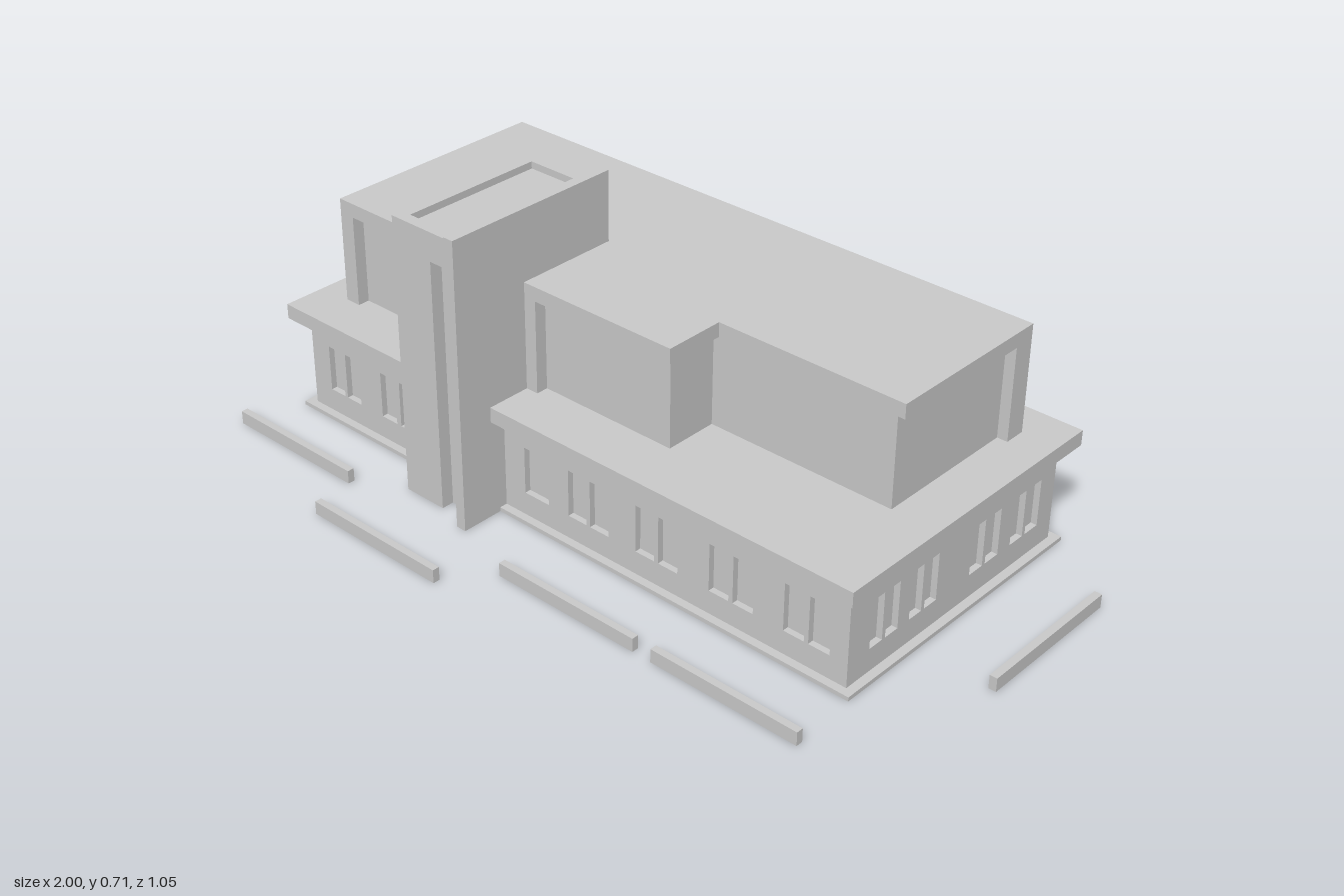
import * as THREE from 'three';

const material = new THREE.MeshStandardMaterial({ color: 0xcccccc, flatShading: true, side: THREE.DoubleSide });
const BOTTOM = 3, FRONT = 4; // box faces that may be left open

function add(parent, name, geometry) {
  const mesh = new THREE.Mesh(geometry, material);
  mesh.name = name;
  parent.add(mesh);
  return mesh;
}

// Box given by its lower and upper limits, optionally with one face left open
function box(parent, name, x0, x1, y0, y1, z0, z1, open) {
  const geometry = new THREE.BoxGeometry(x1 - x0, y1 - y0, z1 - z0);
  const index = Array.from(geometry.index.array);
  geometry.setIndex(index.filter((_, i) => Math.floor(i / 6) !== open));
  geometry.clearGroups();
  add(parent, name, geometry).position.set((x0 + x1) / 2, (y0 + y1) / 2, (z0 + z1) / 2);
}

const rect = (a0, a1, b0, b1) => [[a0, b0], [a1, b0], [a1, b1], [a0, b1]];
const points = (list, s) => list.map(([a, b]) => new THREE.Vector2(a, s * b));

// Footprint of [x, z] corners, raised from y0 to y1
function prism(parent, name, outline, y0, y1, hole) {
  const shape = new THREE.Shape(points(outline, -1));
  if (hole) shape.holes.push(new THREE.Path(points(hole, -1)));
  const geometry = new THREE.ExtrudeGeometry(shape, { depth: y1 - y0, bevelEnabled: false });
  add(parent, name, geometry.rotateX(-Math.PI / 2).translate(0, y0, 0));
}

// Thin upright walls along a closed footprint of [x, z] corners
function shell(parent, name, outline, y0, y1) {
  const position = outline.flatMap(([ax, az], i) => {
    const [bx, bz] = outline[(i + 1) % outline.length];
    return [ax, y1, az, bx, y1, bz, bx, y0, bz, ax, y1, az, bx, y0, bz, ax, y0, az];
  });
  const geometry = new THREE.BufferGeometry();
  geometry.setAttribute('position', new THREE.Float32BufferAttribute(position, 3));
  geometry.computeVertexNormals();
  add(parent, name, geometry);
}

// Thin wall facing +z of its own group, with a shallow niche in each opening
function wall(parent, name, u0, u1, openings, y0, y1, angle, x, z) {
  const group = new THREE.Group();
  group.name = name;
  const shape = new THREE.Shape(points(rect(u0, u1, 0, 0.241), 1));
  for (const [a, b] of openings) {
    shape.holes.push(new THREE.Path(points(rect(a, b, y0, y1), 1)));
    box(group, 'windowNiche', a, b, y0, y1, -0.015, 0, FRONT);
  }
  add(group, name + 'Surface', new THREE.ShapeGeometry(shape));
  group.rotation.y = angle;
  group.position.set(x, 0, z);
  parent.add(group);
}

export function createModel() {
  const model = new THREE.Group();
  model.name = 'building';
  const [L, R, B, F] = [-0.816, 0.784, -0.487, 0.222];

  // Ground floor walls, open underneath
  const lower = new THREE.Group();
  lower.name = 'groundFloor';
  model.add(lower);
  const win = [0.067, 0.183];
  wall(lower, 'frontWallRight', L, -0.383,
    [[-0.757, -0.709], [-0.7, -0.652], [-0.577, -0.527], [-0.513, -0.459]], ...win, 0, 0, F);
  const pairs = [0.024, 0.22, 0.424, 0.621].flatMap(x => [[x, x + 0.053], [x + 0.064, x + 0.118]]);
  wall(lower, 'frontWallLeft', -0.17, R, [[-0.108, -0.036], ...pairs], ...win, 0, 0, F);
  const sidePairs = [-0.153, -0.023, 0.185, 0.332].flatMap((u, i) => {
    const w = i < 2 ? 0.041 : 0.046;
    return [[u, u + w], [u + w + 0.01, u + 2 * w + 0.01]];
  });
  wall(lower, 'leftWall', -F, -B, sidePairs, ...win, Math.PI / 2, R, 0);
  wall(lower, 'rightWall', B, F, [[-0.465, -0.19], [-0.09, 0.195]], 0.068, 0.2, -Math.PI / 2, L, 0);
  wall(lower, 'backWall', -R, -L, [], 0, 0, Math.PI, 0, B);
  prism(lower, 'baseLip', rect(-0.838, 0.805, -0.507, 0.242), 0, 0.01, rect(L, R, B, F));
  box(lower, 'eavesSlab', -0.85, 0.815, 0.24, 0.277, -0.527, 0.261);

  // Upper floor: walls set back below an L-shaped roof
  shell(model, 'upperWalls', [
    [-0.765, -0.434], [0.724, -0.434], [0.724, -0.38], [0.698, -0.38], [0.698, -0.013],
    [0.223, -0.013], [0.223, 0.12], [-0.137, 0.12], [-0.137, 0.15], [-0.415, 0.15],
    [-0.415, 0.12], [-0.724, 0.12], [-0.724, 0.15], [-0.765, 0.15],
  ], 0.277, 0.504);
  prism(model, 'upperRoof', [
    [-0.765, -0.434], [0.724, -0.434], [0.724, 0], [0.248, 0], [0.248, 0.15], [-0.765, 0.15],
  ], 0.504, 0.539);

  // Tower with a tall entrance slot, sunken roof and side fin
  const tower = new THREE.Group();
  tower.name = 'tower';
  model.add(tower);
  shell(tower, 'towerWalls', [
    [-0.385, -0.092], [-0.195, -0.092], [-0.195, 0.29], [-0.271, 0.29], [-0.271, 0.321], [-0.385, 0.321],
  ], 0, 0.617);
  prism(tower, 'parapet', rect(-0.385, -0.195, -0.092, 0.321), 0.617, 0.687, rect(-0.358, -0.222, -0.066, 0.293));
  box(tower, 'towerRoof', -0.358, -0.222, 0.618, 0.67, -0.066, 0.293);
  box(tower, 'fin', -0.195, -0.169, 0, 0.711, -0.112, 0.349);

  // Low kerbs around the plot
  for (const [x0, x1, z0, z1] of [
    [-0.88, -0.5, 0.381, 0.398], [-0.46, -0.078, 0.51, 0.527],
    [0.005, 0.389, 0.397, 0.414], [0.438, 0.815, 0.397, 0.414],
    [-1, -0.982, -0.329, 0.048], [0.982, 1, -0.357, 0.021],
  ]) box(model, 'kerb', x0, x1, 0, 0.033, z0, z1, BOTTOM);

  return model;
}
